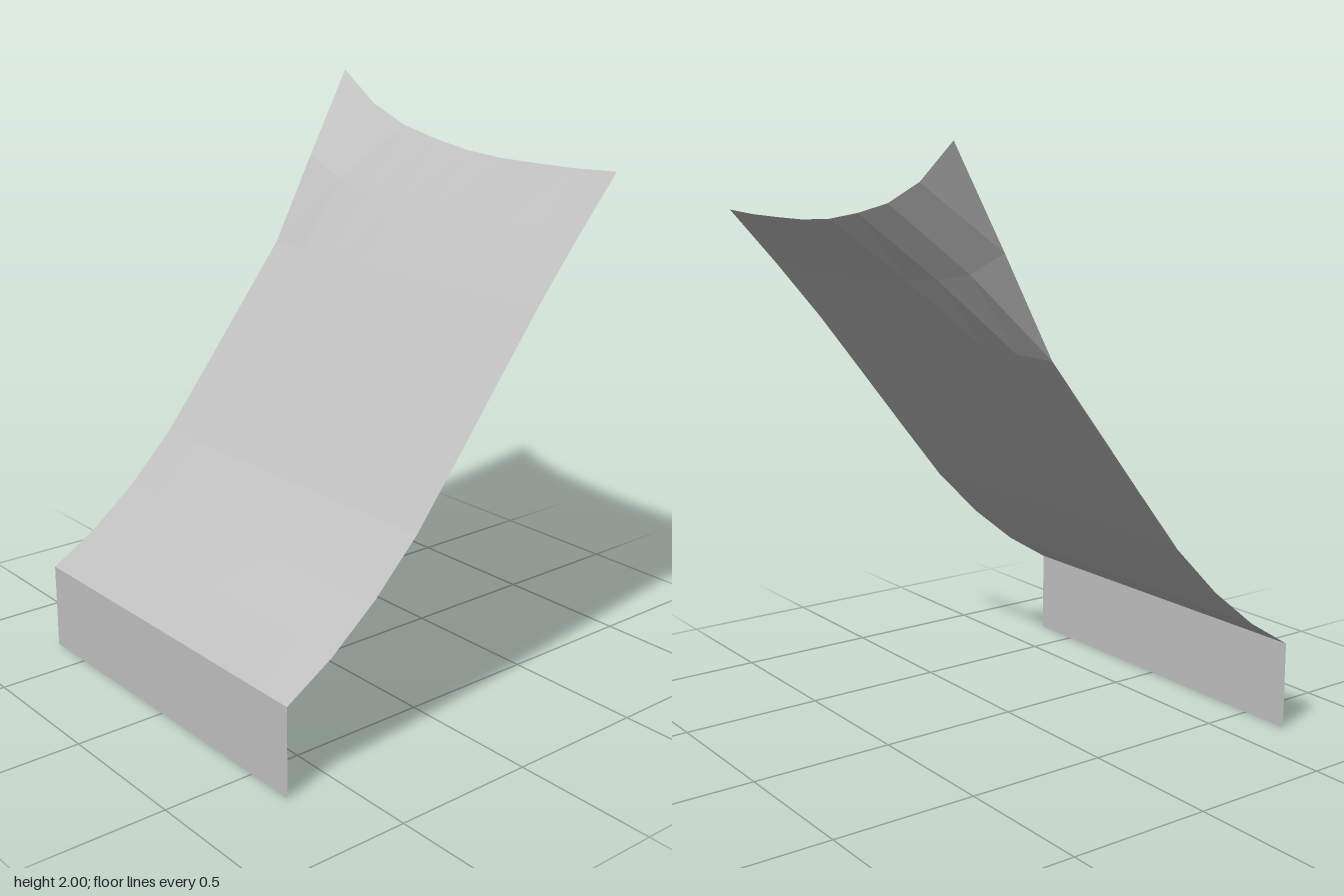
import * as THREE from 'three';

const N = 8, HALF = 0.68, STEP = (2 * HALF) / N;

// Height of the slope at each step along x
const slope = [0.305, 0.41, 0.548, 0.72, 0.935, 1.153, 1.37, 1.57, 1.75];
// Extra height of the last two columns, from back to front, curling up at the back corner
const edgeLift = [0.25, 0.135, 0.07, 0.035, 0.01, 0, 0, 0.002, 0.01];
const innerLift = [0.12, 0.048, 0.017, 0.004, 0, 0, 0, 0, 0];

function height(i, j) {
  if (i === N) return slope[i] + edgeLift[j];
  if (i === N - 1) return slope[i] + innerLift[j];
  return slope[i];
}

export function createModel() {
  const group = new THREE.Group();
  group.name = 'terrainTile';
  const grey = new THREE.MeshStandardMaterial({ color: 0xbdbdbd, flatShading: true, side: THREE.DoubleSide });
  grey.name = 'plain grey';

  // Faceted hillside sheet on an 8 x 8 grid
  const positions = [], index = [];
  for (let i = 0; i <= N; i++) {
    for (let j = 0; j <= N; j++) {
      positions.push(-HALF + i * STEP, height(i, j), -HALF + j * STEP);
      if (i < N && j < N) {
        const a = i * (N + 1) + j, b = a + 1, d = a + N + 1, c = d + 1;
        index.push(a, b, c, a, c, d);
      }
    }
  }
  const indexed = new THREE.BufferGeometry();
  indexed.setAttribute('position', new THREE.Float32BufferAttribute(positions, 3));
  indexed.setIndex(index);
  const sheet = indexed.toNonIndexed();
  sheet.computeVertexNormals();
  const hillside = new THREE.Mesh(sheet, grey);
  hillside.name = 'hillside';
  group.add(hillside);

  // Upright wall under the low edge
  const wall = new THREE.Mesh(new THREE.PlaneGeometry(2 * HALF, slope[0]), grey);
  wall.name = 'lowEdgeWall';
  wall.rotation.y = -Math.PI / 2;
  wall.position.set(-HALF, slope[0] / 2, 0);
  group.add(wall);

  return group;
}
